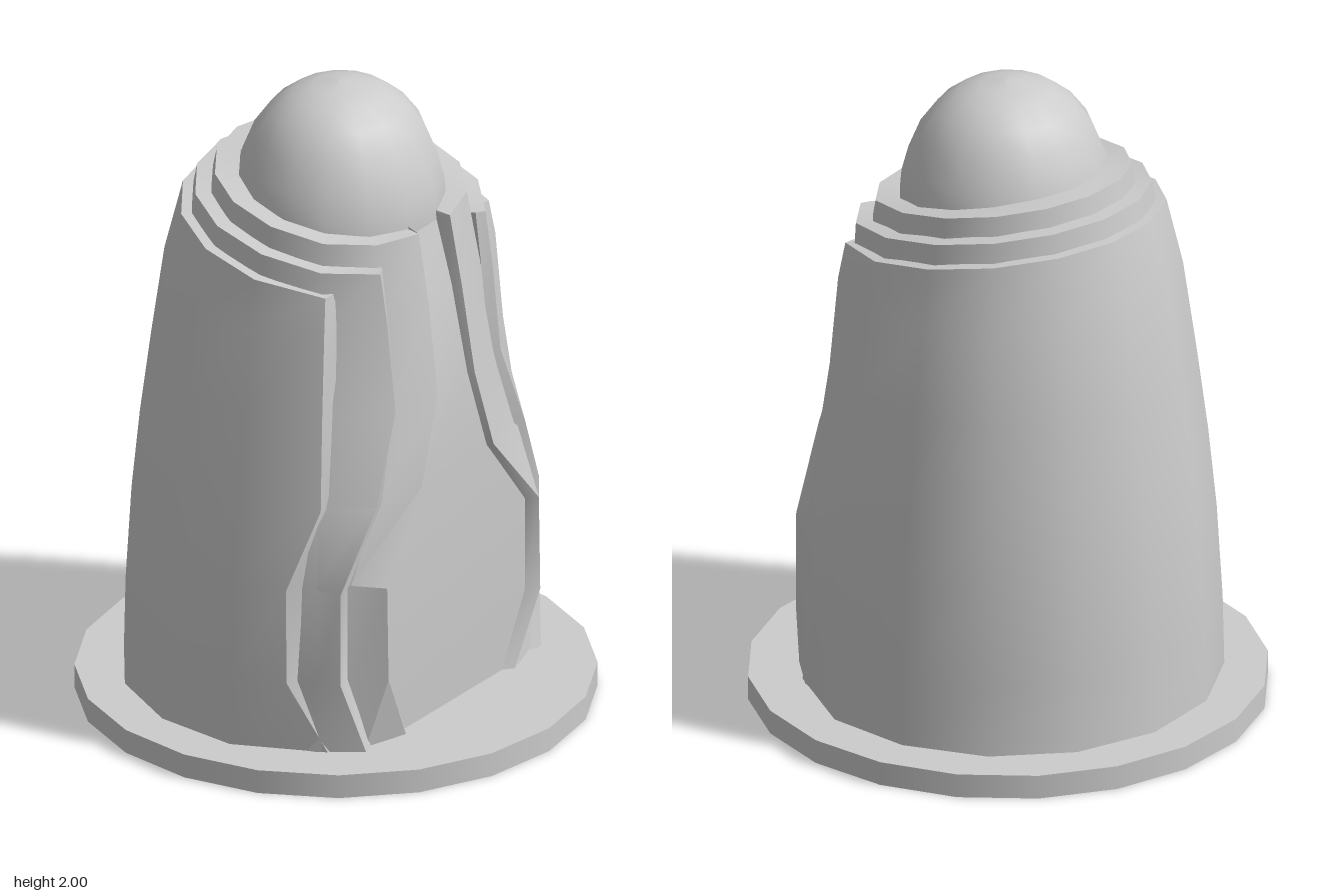
import * as THREE from 'three';
import { toCreasedNormals } from 'three/addons/utils/BufferGeometryUtils.js';

const material = new THREE.MeshStandardMaterial({ color: 0xcccccc, side: THREE.DoubleSide });
const heights = [0.075, 0.3, 0.6, 0.85, 1.12, 1.4];
const rad = THREE.MathUtils.degToRad;

// Surface through columns of points; columns run to the right, points run upwards
function gridGeometry(columns) {
  const rows = columns[0].length, index = [];
  for (let c = 0; c < columns.length - 1; c++) {
    for (let r = 0; r < rows - 1; r++) {
      const a = c * rows + r, b = a + rows;
      index.push(a, b, b + 1, a, b + 1, a + 1);
    }
  }
  const geometry = new THREE.BufferGeometry();
  geometry.setAttribute('position', new THREE.Float32BufferAttribute(columns.flat(2), 3));
  geometry.setIndex(index);
  return toCreasedNormals(geometry, 0.6);
}

function addMesh(group, name, geometry) {
  const mesh = new THREE.Mesh(geometry, material);
  mesh.name = name;
  group.add(mesh);
  return mesh;
}

// Open wrap: 15-sided tapering body with a slanted top and a shaped opening at +x.
// edge and wall hold [x, z] per height for the outer and inner corner of the opening.
function wrapGeometry({ radii, lastAngle, edge, wall, topY, slope, between }) {
  const column = (pointAt) => {
    const points = radii.map((r, i) => {
      const [x, z] = pointAt(r, i);
      return [x, i < heights.length ? heights[i] : topY - slope * x, z];
    });
    // narrow lip leading inwards from the top rim
    const [x, , z] = points[points.length - 1];
    points.push([x * 0.8, topY - slope * x, z * 0.8]);
    return points;
  };
  const half = [];
  for (let a = 180; a >= lastAngle; a -= 24) {
    const t = rad(a);
    half.push(column((r, i) => {
      const k = i === heights.length ? r + 0.03 * Math.cos(t) : r;
      return [k * Math.cos(t), k * Math.sin(t)];
    }));
  }
  if (between) {
    // extra column halfway between the last regular one and the opening
    half.push(column((r, i) => {
      const t = (rad(lastAngle) + Math.atan2(edge[i][1], edge[i][0])) / 2;
      return [r * Math.cos(t), r * Math.sin(t)];
    }));
  }
  half.push(column((r, i) => edge[i]), column((r, i) => wall[i]));
  const mirrored = half.slice(1).reverse().map((col) => col.map(([x, y, z]) => [x, y, -z]));
  return gridGeometry([...mirrored, ...half]);
}

export function createModel() {
  const group = new THREE.Group();

  // Round base plate
  addMesh(group, 'basePlate', new THREE.CylinderGeometry(0.78, 0.78, 0.075, 20)).position.y = 0.0375;

  // Three nested wraps, each one opening wider than the one inside it
  const wraps = {
    outerWrap: {
      radii: [0.645, 0.64, 0.622, 0.597, 0.562, 0.522, 0.493],
      lastAngle: 84, topY: 1.555, slope: 0.165,
      edge: [[0.34, 0.52], [0.235, 0.585], [0.23, 0.58], [0.3, 0.5], [0.28, 0.465], [0.27, 0.44], [0.26, 0.42]],
      wall: [[0.36, 0.47], [0.27, 0.51], [0.27, 0.51], [0.31, 0.44], [0.29, 0.41], [0.28, 0.39], [0.26, 0.37]],
    },
    middleWrap: {
      radii: [0.62, 0.615, 0.6, 0.57, 0.525, 0.475, 0.45],
      lastAngle: 60, topY: 1.62, slope: 0.168,
      edge: [[0.43, 0.45], [0.38, 0.51], [0.38, 0.51], [0.42, 0.38], [0.41, 0.27], [0.38, 0.27], [0.355, 0.27]],
      wall: [[0.42, 0.41], [0.37, 0.46], [0.37, 0.46], [0.41, 0.34], [0.39, 0.24], [0.36, 0.24], [0.34, 0.24]],
    },
    innerWrap: {
      radii: [0.59, 0.585, 0.57, 0.54, 0.48, 0.43, 0.39],
      lastAngle: 60, topY: 1.685, slope: 0.175, between: true,
      edge: [[0.455, 0.28], [0.47, 0.39], [0.465, 0.39], [0.445, 0.185], [0.44, 0.095], [0.4, 0.085], [0.36, 0.08]],
      wall: [[0.43, 0.25], [0.435, 0.36], [0.435, 0.36], [0.43, 0.17], [0.42, 0.085], [0.37, 0.075], [0.31, 0.07]],
    },
  };
  for (const [name, spec] of Object.entries(wraps)) addMesh(group, name, wrapGeometry(spec));

  // Flat panel showing through the opening
  const inner = wraps.innerWrap.wall;
  const side = (s) => inner.map(([x, z], i) => [x, heights[i] ?? 1.63, s * (z + 0.005)]);
  addMesh(group, 'frontPanel', gridGeometry([side(1), side(-1)]));

  // Smooth domed head
  const profile = [[0.33, 1.5], [0.335, 1.6], [0.328, 1.68], [0.306, 1.76], [0.268, 1.85], [0.215, 1.92], [0.15, 1.967], [0.08, 1.992], [0, 2]];
  const dome = new THREE.LatheGeometry(profile.map(([x, y]) => new THREE.Vector2(x, y)), 15, -Math.PI / 2);
  const head = addMesh(group, 'domedHead', dome);
  head.position.x = 0.01;
  head.scale.x = 0.94;

  return group;
}
